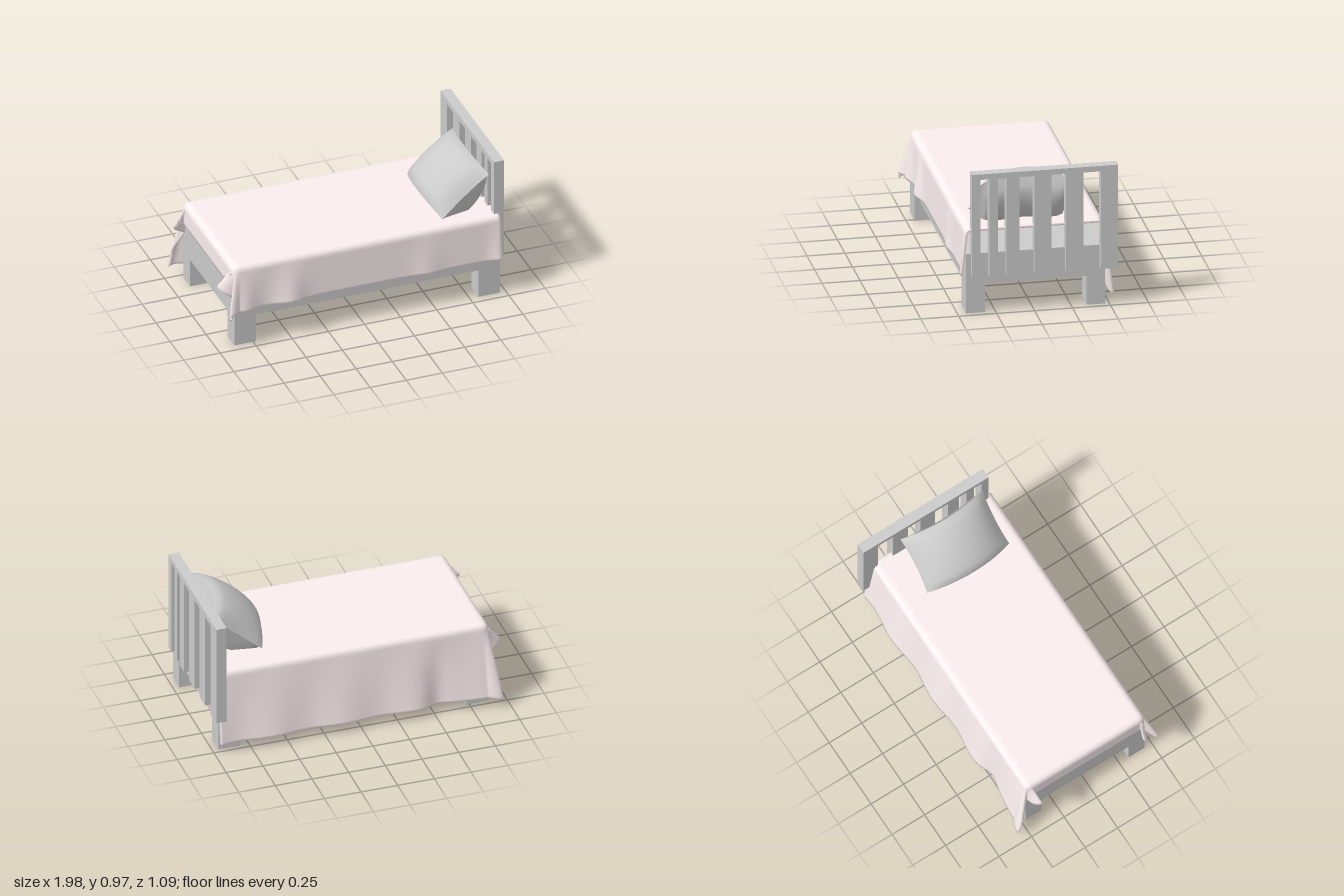
import * as THREE from 'three';

const GREY = 0xcccccc;
const material = (color, extra = {}) => new THREE.MeshStandardMaterial({ color, ...extra });

// Box given by its limits on each axis
function slab(name, [x0, x1], [y0, y1], [z0, z1]) {
  const mesh = new THREE.Mesh(new THREE.BoxGeometry(x1 - x0, y1 - y0, z1 - z0), material(GREY));
  mesh.position.set((x0 + x1) / 2, (y0 + y1) / 2, (z0 + z1) / 2);
  mesh.name = name;
  return mesh;
}

// Grid of (nu + 1) x (nv + 1) points from a rule; u runs along x and v along z
function sheet(rule, nu, nv, flip = false) {
  const pos = [], index = [];
  for (let i = 0; i <= nu; i++) {
    for (let j = 0; j <= nv; j++) pos.push(...rule(i / nu, j / nv));
  }
  for (let i = 0; i < nu; i++) {
    for (let j = 0; j < nv; j++) {
      const a = i * (nv + 1) + j, b = a + 1, c = a + nv + 1, d = c + 1;
      if (flip) index.push(a, c, b, b, c, d);
      else index.push(a, b, c, b, d, c);
    }
  }
  const geo = new THREE.BufferGeometry();
  geo.setAttribute('position', new THREE.Float32BufferAttribute(pos, 3));
  geo.setIndex(index);
  geo.computeVertexNormals();
  return geo;
}

// Give a sheet a thickness: offset inner layer plus a rim around the border
function thicken(geo, nu, nv, t) {
  const p = geo.attributes.position.array, n = geo.attributes.normal.array;
  const count = p.length / 3, outer = Array.from(geo.index.array), index = outer.slice();
  const pos = Array.from(p);
  for (let k = 0; k < p.length; k++) pos.push(p[k] - n[k] * t);
  for (let k = 0; k < outer.length; k += 3) {
    index.push(outer[k] + count, outer[k + 2] + count, outer[k + 1] + count);
  }
  const id = (i, j) => i * (nv + 1) + j, border = [];
  for (let j = 0; j < nv; j++) border.push(id(0, j));
  for (let i = 0; i < nu; i++) border.push(id(i, nv));
  for (let j = nv; j > 0; j--) border.push(id(nu, j));
  for (let i = nu; i > 0; i--) border.push(id(i, 0));
  border.forEach((a, k) => {
    const b = border[(k + 1) % border.length];
    index.push(b, a, a + count, b, a + count, b + count);
  });
  const out = new THREE.BufferGeometry();
  out.setAttribute('position', new THREE.Float32BufferAttribute(pos, 3));
  out.setIndex(index);
  out.computeVertexNormals();
  return out;
}

// Blanket: flat on top, rounded over the edges, hanging with folded corners
function blanket() {
  const top = 0.58, R = 0.04, footX = -0.85, headX = 0.96, frontZ = 0.41, backZ = -0.43;
  const footDrop = 0.185, frontDrop = 0.338, backDrop = 0.54;
  const nu = 125, nv = 108;
  const bump = (x, c, w) => Math.exp(-(((x - c) / w) ** 2));

  const rule = (u, v) => {
    const x = THREE.MathUtils.lerp(footX - footDrop, headX, u);
    const z = THREE.MathUtils.lerp(backZ - backDrop, frontZ + frontDrop, v);
    const cx = Math.max(x, footX), cz = THREE.MathUtils.clamp(z, backZ, frontZ);
    const a = cx - x, b = Math.abs(z - cz), r = Math.hypot(a, b);
    if (r === 0) return [x, top, z];
    const front = z > 0, side = front ? 1 : -1;

    // Outward lean and heading, with two folds around each foot corner
    const phi = Math.atan2(b, a), fold = Math.sin(4 * phi) ** 2;
    let lean = (front ? 0.03 : 0.13) * Math.sin(phi) ** 8, heading = phi;
    if (phi < Math.PI / 4) {
      lean += 0.65 * fold;
      heading -= 0.6 * Math.sin(4 * phi);
    } else {
      lean += (front ? 0.3 : 0.2) * fold;
      heading -= 0.3 * fold;
    }
    // Soft waves down the long sides
    const wave = front
      ? 0.14 * bump(x, -0.5, 0.1) + 0.13 * bump(x, -0.82, 0.09) + 0.06 * bump(x, 0.45, 0.09) + 0.09 * bump(x, 0.95, 0.06)
      : 0.025 * Math.sin(x * 13) - 0.06 * bump(x, -0.52, 0.08);
    lean += wave * Math.sin(phi) ** 8;

    const turn = Math.min(r / R, Math.PI / 2), rest = Math.max(0, r - R * Math.PI / 2);
    const out = R * Math.sin(turn) + rest * lean;
    const y = top - R * (1 - Math.cos(turn)) - rest * Math.sqrt(1 - lean * lean);
    return [cx - out * Math.cos(heading), y, cz + side * out * Math.sin(heading)];
  };

  const geo = thicken(sheet(rule, nu, nv), nu, nv, 0.016);
  const mesh = new THREE.Mesh(geo, material(0xfbeeee, { side: THREE.DoubleSide }));
  mesh.name = 'blanket';
  return mesh;
}

// Pillow: two bulging faces that meet in a bowed seam
function pillow() {
  const group = new THREE.Group();
  group.name = 'pillow';
  const face = (name, isTop) => {
    const rule = (u, v) => {
      const a = u * 2 - 1, b = v * 2 - 1;
      const seam = -0.04 + 0.1 * (1 - b * b);
      const puff = Math.sqrt((1 - a * a) * (1 - b ** 4));
      const h = isTop ? 0.055 * puff : -0.23 * puff * (1 - 0.2 * a);
      return [0.21 * a, seam + h, 0.315 * b * (1 - 0.04 * (1 - a * a))];
    };
    const mesh = new THREE.Mesh(sheet(rule, 14, 16, !isTop), material(GREY, { side: THREE.DoubleSide }));
    mesh.name = name;
    group.add(mesh);
  };
  face('pillowTop', true);
  face('pillowUnderside', false);
  group.position.set(0.73, 0.745, 0.04);
  group.rotation.z = THREE.MathUtils.degToRad(40);
  return group;
}

export function createModel() {
  const bed = new THREE.Group();
  bed.name = 'bed';

  // Base and legs
  bed.add(slab('bedBase', [-0.88, 0.96], [0.2, 0.41], [-0.47, 0.445]));
  for (const [end, xs] of [['foot', [-0.88, -0.73]], ['head', [0.81, 0.96]]]) {
    bed.add(slab(end + 'LegFront', xs, [0, 0.2], [0.32, 0.445]));
    bed.add(slab(end + 'LegBack', xs, [0, 0.2], [-0.47, -0.348]));
  }

  // Headboard: a top rail over slats of uneven width
  const headboard = new THREE.Group();
  headboard.name = 'headboard';
  headboard.add(slab('topRail', [0.93, 1], [0.932, 0.97], [-0.55, 0.412]));
  const slats = [[0.356, 0.412], [0.242, 0.298], [0.1, 0.184], [-0.11, 0], [-0.322, -0.206], [-0.55, -0.436]];
  for (const zs of slats) headboard.add(slab('slat', [0.93, 1], [0.256, 0.932], zs));
  bed.add(headboard);

  bed.add(blanket(), pillow());
  return bed;
}
